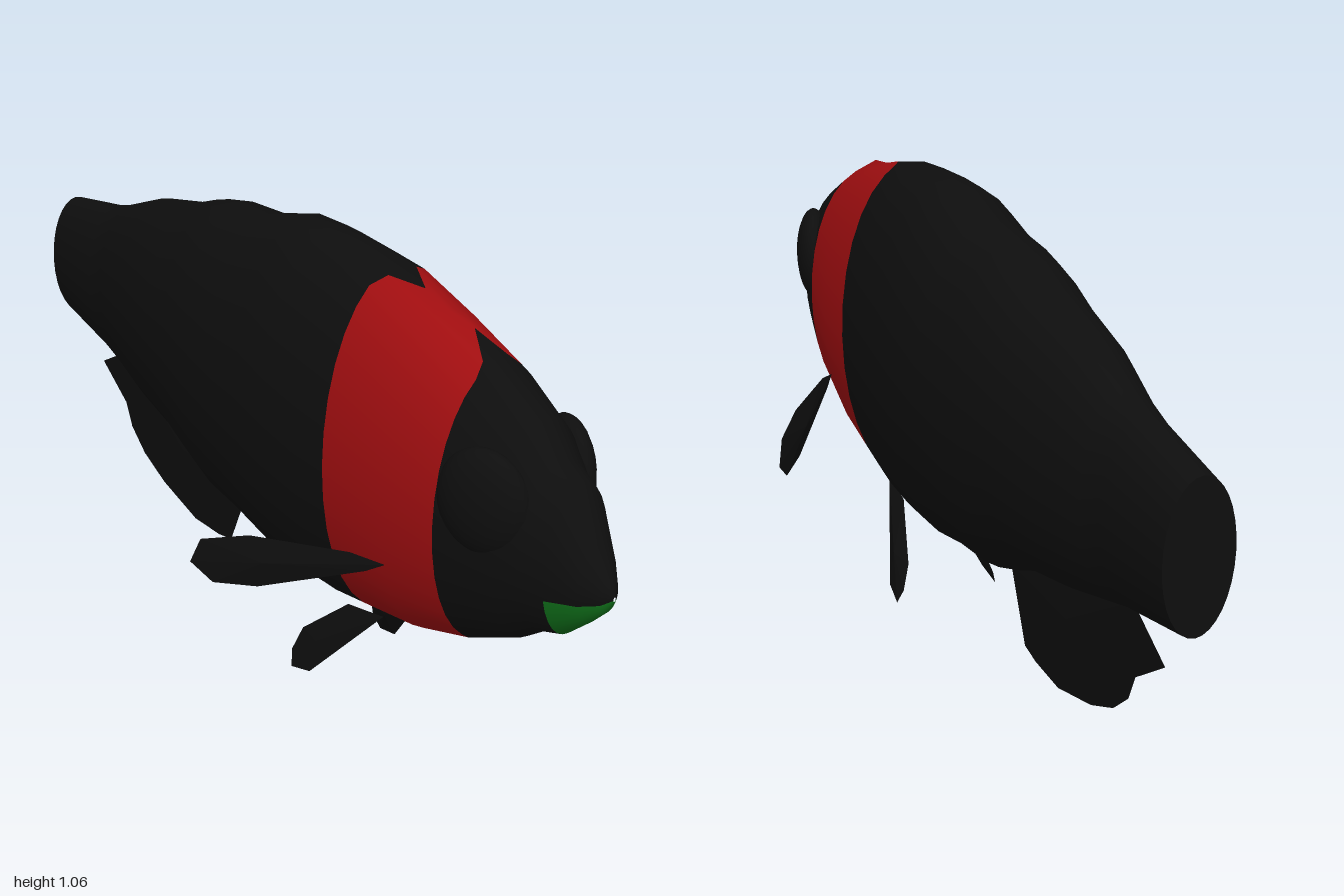
import * as THREE from 'three';

const black = new THREE.MeshStandardMaterial({ color: 0x0e0e0e, side: THREE.DoubleSide });
black.name = 'black';
const red = new THREE.MeshStandardMaterial({ color: 0xa00e10 });
red.name = 'red';
const green = new THREE.MeshStandardMaterial({ color: 0x10701a });
green.name = 'green';

// Body profile from nose to tail: z, top y, bottom y, half width
const PROFILE = [
  [1.0, 0.602, 0.592, 0.003], [0.985, 0.635, 0.56, 0.024], [0.95, 0.69, 0.52, 0.052],
  [0.89, 0.797, 0.46, 0.083], [0.84, 0.82, 0.44, 0.1], [0.785, 0.885, 0.395, 0.121],
  [0.65, 0.955, 0.32, 0.153], [0.58, 0.995, 0.28, 0.163], [0.5, 1.005, 0.26, 0.172],
  [0.335, 1.05, 0.228, 0.187], [0.24, 1.055, 0.21, 0.193], [0.12, 1.06, 0.204, 0.197],
  [0.02, 1.055, 0.208, 0.196], [-0.11, 1.015, 0.236, 0.19], [-0.23, 1.005, 0.246, 0.18],
  [-0.32, 0.983, 0.28, 0.169], [-0.41, 0.947, 0.32, 0.157], [-0.57, 0.908, 0.353, 0.133],
  [-0.72, 0.845, 0.395, 0.1], [-0.79, 0.822, 0.415, 0.092], [-1.0, 0.78, 0.455, 0.077],
];
const SIDES = 32;
const BAND_FRONT = 0.65, BAND_BACK = 0.335, NOSE_END = 0.89;

function section(z) {
  let i = 0;
  while (i < PROFILE.length - 2 && PROFILE[i + 1][0] > z) i++;
  const a = PROFILE[i], b = PROFILE[i + 1];
  const t = (a[0] - z) / (a[0] - b[0]);
  return a.map((v, k) => v + (b[k] - v) * t);
}

// Lofted body; the red band narrows at the back crest and belly keel
function makeBody() {
  const rings = PROFILE.map((p) => p[0]).filter((z) => z !== 0.58);
  const pos = [], index = [];
  const geo = new THREE.BufferGeometry();
  for (const z0 of rings) {
    for (let j = 0; j < SIDES; j++) {
      const fromCrest = Math.abs((j % 16) - 8);
      const pull = fromCrest === 0 ? 1 : fromCrest === 1 ? 0.18 : 0;
      let z = z0;
      if (z0 === BAND_FRONT) z -= 0.075 * pull;
      if (z0 === BAND_BACK) z += 0.09 * pull;
      const [, top, bottom, w] = section(z);
      const a = (j / SIDES) * Math.PI * 2;
      pos.push(w * Math.cos(a), (top + bottom) / 2 + ((top - bottom) / 2) * Math.sin(a), z);
    }
  }
  for (let i = 0; i < rings.length - 1; i++) {
    for (let j = 0; j < SIDES; j++) {
      const k = (j + 1) % SIDES;
      const a = i * SIDES + j, b = i * SIDES + k, c = a + SIDES, d = b + SIDES;
      const inBand = rings[i] <= BAND_FRONT && rings[i] > BAND_BACK;
      const isMouth = rings[i] > NOSE_END && j >= 18 && j < 30;
      geo.addGroup(index.length, 6, inBand ? 1 : isMouth ? 2 : 0);
      index.push(a, c, b, b, c, d);
    }
  }
  geo.setAttribute('position', new THREE.Float32BufferAttribute(pos, 3));
  geo.setIndex(index);
  geo.computeVertexNormals();
  return new THREE.Mesh(geo, [black, red, green]);
}

// Thin fin: a flat outline that swells gently at its centre
function makeFin(name, points, center, thickness) {
  const pts = points.map((p) => new THREE.Vector3(...p));
  const c = new THREE.Vector3(...center);
  const normal = new THREE.Vector3();
  pts.forEach((p, i) => {
    const q = pts[(i + 1) % pts.length];
    normal.add(p.clone().sub(c).cross(q.clone().sub(c)));
  });
  normal.normalize();
  const front = c.clone().addScaledVector(normal, thickness);
  const back = c.clone().addScaledVector(normal, -thickness);
  const tris = [];
  pts.forEach((p, i) => {
    const q = pts[(i + 1) % pts.length];
    tris.push(front, p, q, back, q, p);
  });
  const geo = new THREE.BufferGeometry().setFromPoints(tris);
  geo.computeVertexNormals();
  const mesh = new THREE.Mesh(geo, black);
  mesh.name = name;
  return mesh;
}

export function createModel() {
  const group = new THREE.Group();
  group.name = 'fish';

  const body = makeBody();
  body.name = 'body';
  group.add(body);

  // Flat end of the tail stem
  const [, top, bottom, w] = PROFILE[PROFILE.length - 1];
  const cap = new THREE.Mesh(new THREE.CircleGeometry(1, SIDES), black);
  cap.name = 'tailEnd';
  cap.scale.set(w, (top - bottom) / 2, 1);
  cap.rotation.y = Math.PI;
  cap.position.set(0, (top + bottom) / 2, -1);
  group.add(cap);

  // Belly fin near the tail
  const belly = [
    [-0.22, 0.25], [-0.295, 0.08], [-0.35, 0.067], [-0.46, 0.06], [-0.61, 0.1], [-0.705, 0.145],
    [-0.765, 0.2], [-0.79, 0.262], [-0.9, 0.342], [-0.77, 0.42], [-0.5, 0.38],
  ];
  group.add(makeFin('bellyFin', belly.map(([z, y]) => [0, y, z]), [0, 0.25, -0.5], 0.008));

  // Paired parts
  const pectoral = [
    [0.155, 0.478], [0.2, 0.495], [0.33, 0.495], [0.395, 0.466],
    [0.41, 0.405], [0.38, 0.362], [0.32, 0.371], [0.18, 0.455],
  ];
  const pelvic = [
    [0.385, 0.24], [0.27, 0.215], [0.15, 0.1], [0.134, 0.04], [0.148, 0.003], [0.21, 0.022],
  ];
  for (const [side, s] of [['left', 1], ['right', -1]]) {
    const eye = new THREE.Mesh(new THREE.SphereGeometry(1, 20, 14), black);
    eye.name = side + 'Eye';
    eye.scale.set(0.045, 0.115, 0.1);
    eye.position.set(s * 0.109, 0.725, 0.745);
    eye.rotation.y = -s * 0.36;
    group.add(eye);

    const atPectoral = ([x, y]) => [s * x, y, 0.49 - (x - 0.17) * 1.35];
    group.add(makeFin(side + 'PectoralFin', pectoral.map(atPectoral), atPectoral([0.31, 0.44]), 0.013));

    const atPelvic = ([z, y]) => [s * (0.06 + (0.22 - y) * 0.33), y, z];
    group.add(makeFin(side + 'PelvicFin', pelvic.map(atPelvic), atPelvic([0.215, 0.1]), 0.013));
  }
  return group;
}
